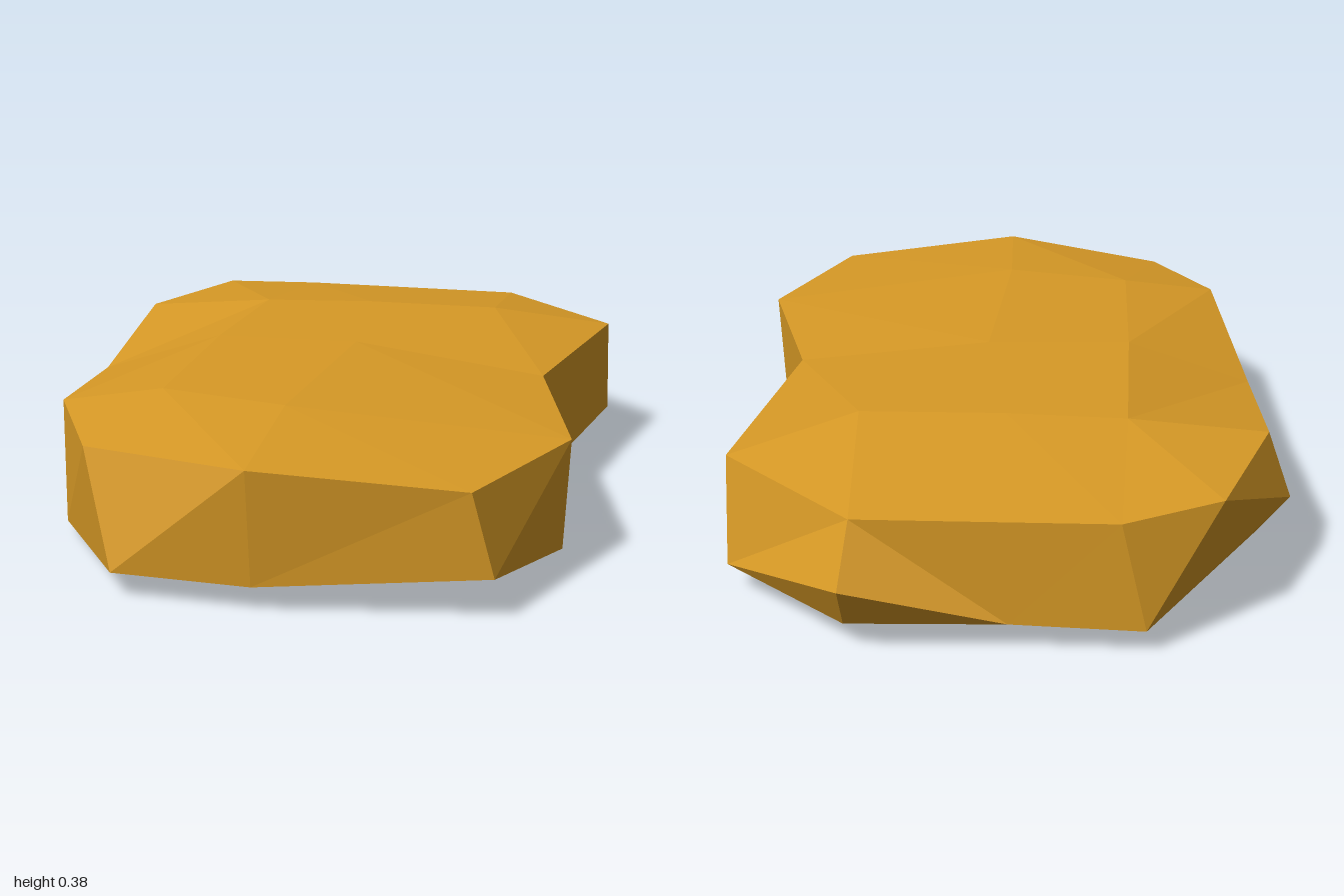
import * as THREE from 'three';

// Rims run counter-clockwise from above, starting at the front
const topRim = [
  [0.03, 0.34, 1], [0.51, 0.3, 0.92], [0.675, 0.31, 0.51], [0.545, 0.325, 0.02],
  [0.65, 0.325, -0.58], [0.33, 0.325, -0.91], [-0.27, 0.325, -0.915], [-0.5, 0.34, -0.82],
  [-0.625, 0.345, -0.45], [-0.61, 0.28, 0.02], [-0.54, 0.34, 0.55], [-0.39, 0.32, 0.84],
];
const bottomRim = [
  [0.03, 0.06, 0.96], [0.56, 0.1, 0.9], [0.66, 0.04, 0.5], [0.545, 0.06, 0.02],
  [0.65, 0.07, -0.64], [0.35, 0.06, -0.9], [-0.02, 0.07, -0.91], [-0.33, 0.06, -0.915],
  [-0.61, 0.07, -0.42], [-0.675, 0.07, 0.05], [-0.54, 0.035, 0.55], [-0.3, 0.06, 0.94],
];
// Inner points of the top and underside
const topInner = [
  [0.02, 0.375, 0.6], [0.06, 0.385, 0.01], [0.35, 0.385, -0.45], [0, 0.385, -0.45],
  [-0.29, 0.375, -0.45], [-0.3, 0.385, 0.02], [-0.3, 0.375, 0.52],
];
const bottomInner = [[-0.1, 0.035, 0.3], [0.05, 0, -0.34]];
// Points that bulge out of the sides
const backBulge = [0.35, 0.19, -1];
const sideBulge = [-0.68, 0.19, -0.48];

// Joins each rim edge to its inner point, and fills between neighbouring inner points
function cap(rim, inner, owners) {
  const faces = [];
  const n = rim.length;
  rim.forEach((p, i) => {
    const own = owners[i], before = owners[(i + n - 1) % n];
    faces.push([p, rim[(i + 1) % n], inner[own]]);
    if (own !== before) faces.push([p, inner[own], inner[before]]);
  });
  return faces;
}

function facesToMesh(name, faces, material) {
  const geometry = new THREE.BufferGeometry();
  geometry.setAttribute('position', new THREE.Float32BufferAttribute(faces.flat(2), 3));
  geometry.computeVertexNormals();
  const mesh = new THREE.Mesh(geometry, material);
  mesh.name = name;
  return mesh;
}

export function createModel() {
  const ochre = new THREE.MeshStandardMaterial({ color: 0xd89a26, flatShading: true });
  ochre.name = 'ochre stone';
  const T = topRim, B = bottomRim;

  // Top surface
  const top = cap(T, topInner, [0, 0, 1, 2, 2, 3, 4, 4, 4, 5, 6, 6]);
  for (const t of [[6, 0, 1], [6, 1, 5], [5, 1, 3], [5, 3, 4], [1, 2, 3]]) top.push(t.map((i) => topInner[i]));

  // Underside, with the corners reversed to face down
  const underside = cap(B, bottomInner, [0, 0, 0, 1, 1, 1, 1, 1, 1, 0, 0, 0]).map((f) => f.reverse());

  // Plain side panels
  const sides = [];
  for (const i of [0, 1, 2, 3, 9, 10, 11]) {
    const j = (i + 1) % T.length;
    sides.push([T[i], B[i], T[j]], [B[i], B[j], T[j]]);
  }
  // Facets around the back bulge
  sides.push(
    [T[4], B[4], T[5]], [B[4], backBulge, T[5]], [B[4], B[5], backBulge],
    [T[5], backBulge, B[6]], [backBulge, B[5], B[6]], [T[5], B[6], T[6]],
    [T[6], B[6], B[7]], [T[6], B[7], T[7]],
  );
  // Facets around the side bulge
  sides.push(
    [T[7], B[7], sideBulge], [T[7], sideBulge, T[8]], [B[7], B[8], sideBulge],
    [T[8], sideBulge, T[9]], [sideBulge, B[9], T[9]], [sideBulge, B[8], B[9]],
  );

  const group = new THREE.Group();
  group.name = 'flatStone';
  group.add(
    facesToMesh('topSurface', top, ochre),
    facesToMesh('sideFacets', sides, ochre),
    facesToMesh('underside', underside, ochre),
  );
  return group;
}
